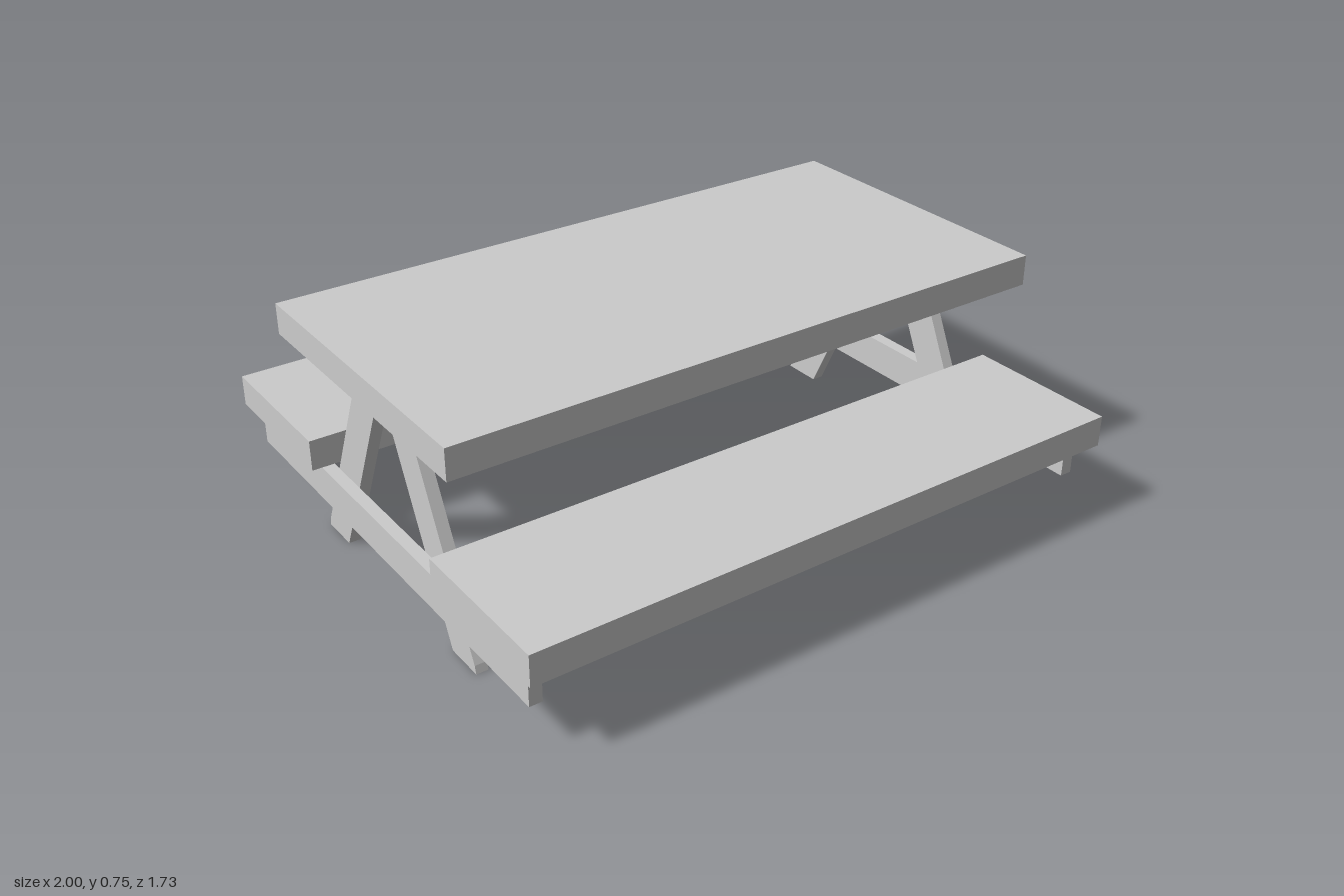
import * as THREE from 'three';

const material = new THREE.MeshStandardMaterial({ color: 0xcccccc, flatShading: true });

// Leg side profile as [z, y]: slanted plank with trimmed foot and top corners
const LEG_PROFILE = [
  [0.322, 0], [0.451, 0], [0.445, 0.025],
  [0.146, 0.653], [0.021, 0.653], [0.032, 0.61],
];
const LEG_THICKNESS = 0.038;

export function createModel() {
  const group = new THREE.Group();

  function add(name, geometry, x, y, z) {
    const mesh = new THREE.Mesh(geometry, material);
    mesh.name = name;
    mesh.position.set(x, y, z);
    group.add(mesh);
  }

  function addBoard(name, [x0, x1], [y0, y1], [z0, z1]) {
    add(name, new THREE.BoxGeometry(x1 - x0, y1 - y0, z1 - z0),
      (x0 + x1) / 2, (y0 + y1) / 2, (z0 + z1) / 2);
  }

  function legGeometry(side) {
    const shape = new THREE.Shape(LEG_PROFILE.map(([z, y]) => new THREE.Vector2(z * side, y)));
    return new THREE.ExtrudeGeometry(shape, { depth: LEG_THICKNESS, bevelEnabled: false })
      .translate(0, 0, -LEG_THICKNESS / 2)
      .rotateY(-Math.PI / 2);
  }

  // Table top
  addBoard('tableTop', [-1, 1], [0.653, 0.75], [-0.5, 0.5]);

  // Benches along the front and back
  addBoard('frontBench', [-1, 1], [0.257, 0.356], [0.368, 0.865]);
  addBoard('backBench', [-1, 1], [0.257, 0.356], [-0.865, -0.368]);

  // Each end: a cross beam outside a pair of slanted legs
  for (const [end, sx] of [['left', 1], ['right', -1]]) {
    const beamX = [0.929 * sx, 0.969 * sx].sort((a, b) => a - b);
    addBoard(`${end}CrossBeam`, beamX, [0.142, 0.257], [-0.8, 0.8]);
    add(`${end}FrontLeg`, legGeometry(1), 0.91 * sx, 0, 0);
    add(`${end}BackLeg`, legGeometry(-1), 0.91 * sx, 0, 0);
  }

  return group;
}
